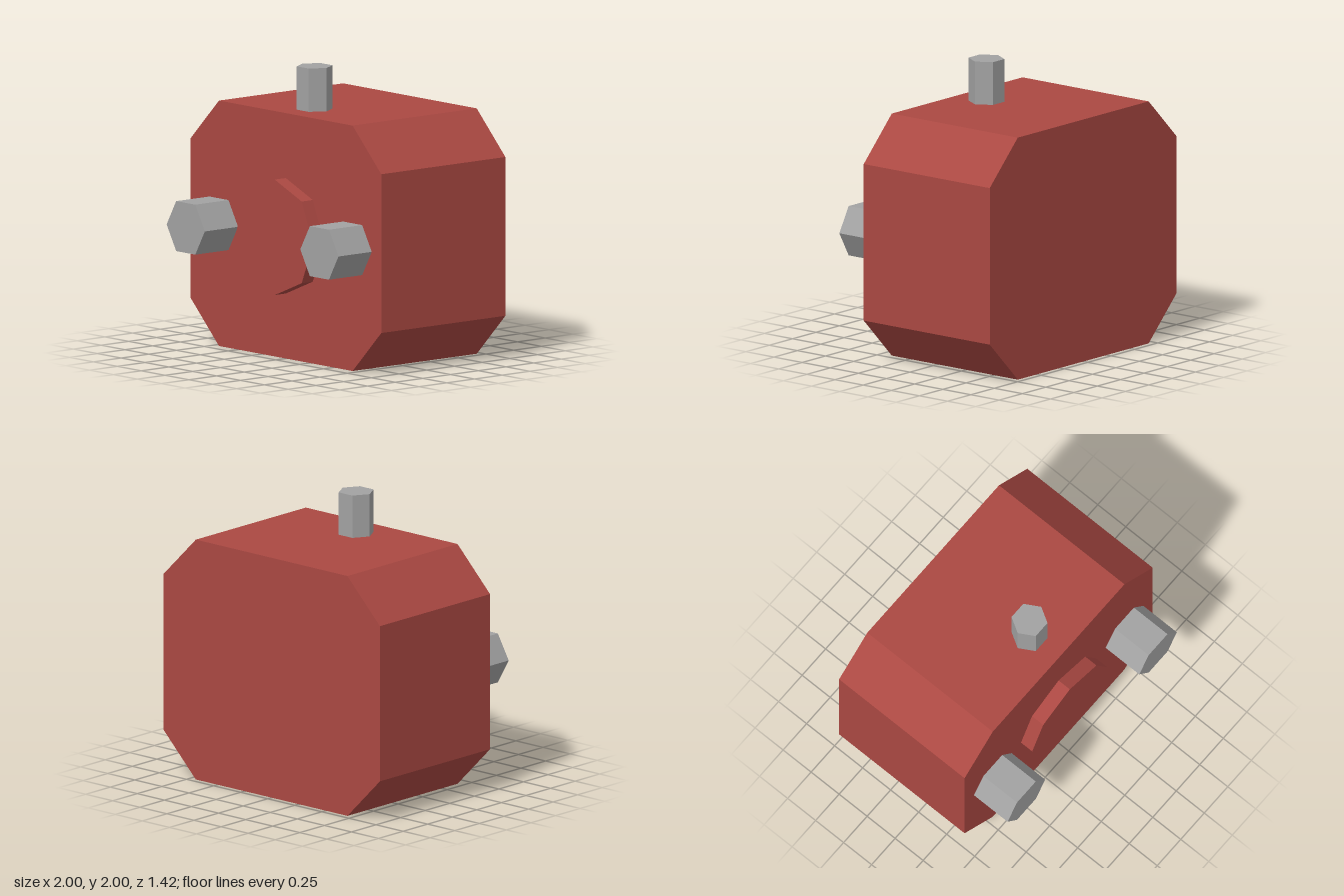
import * as THREE from 'three';

const red = new THREE.MeshStandardMaterial({ color: 0xaa4842 });
red.name = 'brick red';
const grey = new THREE.MeshStandardMaterial({ color: 0xa2a2a2 });
grey.name = 'steel grey';

const FRONT = 0.41, BACK = -0.71, MID = 0.85;

// Faceted prism with a corner on the x axis, standing along y
function prism(radius, length, sides) {
  return new THREE.CylinderGeometry(radius, radius, length, sides, 1, false, Math.PI / 2).toNonIndexed();
}

export function createModel() {
  const group = new THREE.Group();
  const add = (name, geometry, material, x, y, z) => {
    geometry.computeVertexNormals();
    const mesh = new THREE.Mesh(geometry, material);
    mesh.name = name;
    mesh.position.set(x, y, z);
    group.add(mesh);
  };

  // Block with chamfered long edges
  const outline = new THREE.Shape([
    [-0.7, 0], [0.7, 0], [1, 0.3], [1, 1.4], [0.7, 1.7], [-0.7, 1.7], [-1, 1.4], [-1, 0.3],
  ].map(([x, y]) => new THREE.Vector2(x, y)));
  add('body', new THREE.ExtrudeGeometry(outline, { depth: FRONT - BACK, bevelEnabled: false }), red, 0, 0, BACK);

  // Raised octagonal plate on the front
  add('frontPlate', prism(0.4, 0.1, 8).rotateX(Math.PI / 2), red, 0, MID, FRONT + 0.05);

  // Hexagonal pegs either side of the plate
  for (const side of [-1, 1]) {
    add(side > 0 ? 'leftPeg' : 'rightPeg', prism(0.2, 0.3, 6).rotateX(Math.PI / 2), grey, side * 0.7, MID, FRONT + 0.15);
  }

  // Small hexagonal post on top
  add('topPost', prism(0.125, 0.3, 6), grey, 0, 1.85, 0.15);

  return group;
}
